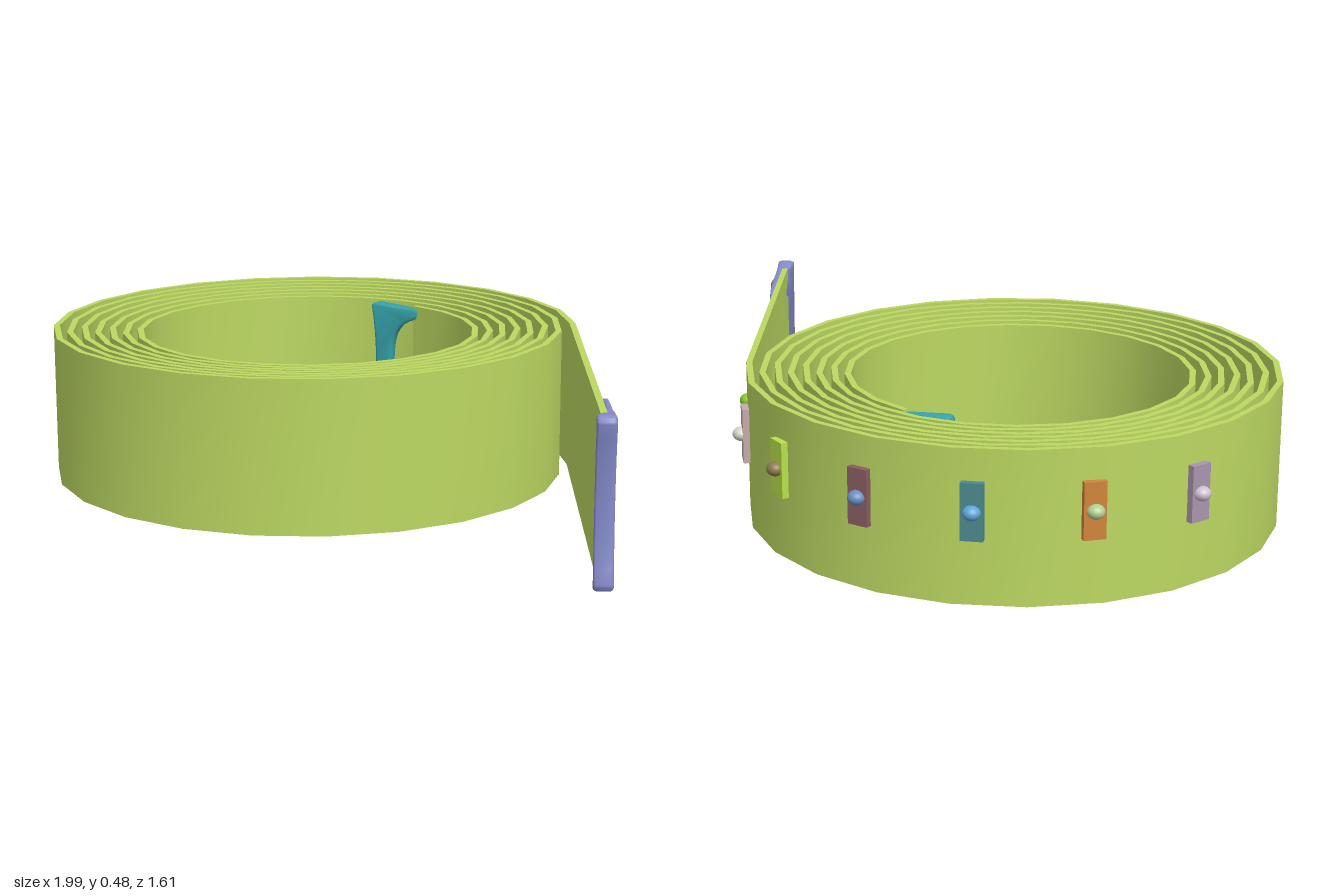
import * as THREE from 'three';
import { toCreasedNormals } from 'three/addons/utils/BufferGeometryUtils.js';

const CX = -0.226, CZ = 0.01;      // centre of the coil
const R = 0.778, PITCH = 0.041;    // outer radius and gap per turn
const A0 = -0.417;                 // angle where the strap leaves the coil
const A_END = -1.3 - 14 * Math.PI; // inner end of the coil
const HALF = 0.009;                // half the strap thickness

const mat = (color) => new THREE.MeshStandardMaterial({ color });

function add(parent, name, geometry, color) {
  const mesh = new THREE.Mesh(geometry, mat(color));
  mesh.name = name;
  parent.add(mesh);
  return mesh;
}

// Point and outward normal on the coil at angle a
function coilAt(a) {
  const turns = (A0 - a) / (2 * Math.PI), r = R - PITCH * turns;
  const nx = Math.cos(a), nz = Math.sin(a);
  return { x: CX + r * nx, z: CZ + r * nz, nx, nz, y: 0.035 - 0.003 * turns };
}

// Point and normal on the free tail, u = distance from the coil
const start = coilAt(A0);
function tailAt(u) {
  const { nx, nz } = start;
  return { x: start.x - nz * u, z: start.z + nx * u, nx, nz, y: 0.035 };
}

const strapAt = (s) => (s >= 0 ? tailAt(s) : coilAt(A0 + s / (R - 0.008)));

// Rectangular cross-section swept along the coil and the tail
function strapGeometry() {
  const path = [], steps = 168, pos = [], idx = [];
  for (let i = 0; i <= steps; i++) path.push(coilAt(A_END + (A0 - A_END) * i / steps));
  path.push(tailAt(1.17));
  path.forEach((p, i) => {
    for (const [n, h] of [[HALF, 0.435], [HALF, 0], [-HALF, 0], [-HALF, 0.435]])
      pos.push(p.x + p.nx * n, p.y + h, p.z + p.nz * n);
    if (i === path.length - 1) return;
    for (let k = 0; k < 4; k++) {
      const a = i * 4 + k, b = i * 4 + (k + 1) % 4;
      idx.push(a, b + 4, b, a, a + 4, b + 4);
    }
  });
  const e = (path.length - 1) * 4;
  idx.push(0, 1, 2, 0, 2, 3, e, e + 2, e + 1, e, e + 3, e + 2);
  const g = new THREE.BufferGeometry();
  g.setAttribute('position', new THREE.Float32BufferAttribute(pos, 3));
  g.setIndex(idx);
  return toCreasedNormals(g, 0.4);
}

// Group whose z points away from the coil and whose x runs back along the strap
function mount(parent, name, p, y) {
  const g = new THREE.Group();
  g.name = name;
  g.position.set(p.x, y, p.z);
  g.rotation.y = Math.atan2(p.nx, p.nz);
  parent.add(g);
  return g;
}

// Bevelled plate whose depth is remapped between back(x) and front(x)
function plateGeometry(shape, back, front) {
  const g = new THREE.ExtrudeGeometry(shape, {
    depth: 0.6, bevelThickness: 0.2, bevelSize: 0.008, bevelOffset: -0.008,
    bevelSegments: 3, curveSegments: 10,
  });
  const p = g.attributes.position;
  for (let i = 0; i < p.count; i++) {
    const x = p.getX(i), t = p.getZ(i) + 0.2;
    p.setZ(i, THREE.MathUtils.lerp(back(x), front(x), t));
  }
  return toCreasedNormals(g, 0.7);
}

// Outer buckle: flared outline with a notch and a slot, y measured from the middle
function buckleShape() {
  const s = new THREE.Shape();
  s.moveTo(0, 0.2);
  s.quadraticCurveTo(-0.006, 0.232, 0.035, 0.225);
  s.bezierCurveTo(0.11, 0.205, 0.2, 0.215, 0.28, 0.205);
  s.quadraticCurveTo(0.345, 0.195, 0.345, 0.155);
  s.lineTo(0.345, 0.085);
  s.quadraticCurveTo(0.345, 0.06, 0.32, 0.06);
  s.bezierCurveTo(0.255, 0.06, 0.255, -0.06, 0.32, -0.06);
  s.quadraticCurveTo(0.345, -0.06, 0.345, -0.085);
  s.lineTo(0.345, -0.155);
  s.quadraticCurveTo(0.345, -0.195, 0.28, -0.205);
  s.bezierCurveTo(0.2, -0.215, 0.11, -0.205, 0.035, -0.225);
  s.quadraticCurveTo(-0.006, -0.232, 0, -0.2);
  s.bezierCurveTo(0.03, -0.1, 0.03, 0.1, 0, 0.2);
  const slot = new THREE.Path();
  slot.absarc(0.195, 0.08, 0.018, 0, Math.PI, false);
  slot.absarc(0.195, -0.08, 0.018, Math.PI, 2 * Math.PI, false);
  slot.closePath();
  s.holes.push(slot);
  return s;
}

// Inner end cap: narrow web with arms reaching along both strap edges
function capShape() {
  const s = new THREE.Shape();
  s.moveTo(0, -0.21);
  s.quadraticCurveTo(0, -0.225, -0.02, -0.225);
  s.lineTo(-0.19, -0.21);
  s.quadraticCurveTo(-0.2, -0.19, -0.18, -0.185);
  s.bezierCurveTo(-0.06, -0.17, -0.07, -0.1, -0.065, 0);
  s.bezierCurveTo(-0.07, 0.1, -0.06, 0.17, -0.18, 0.185);
  s.quadraticCurveTo(-0.2, 0.19, -0.19, 0.21);
  s.lineTo(-0.02, 0.225);
  s.quadraticCurveTo(0, 0.225, 0, 0.21);
  s.bezierCurveTo(-0.02, 0.1, -0.02, -0.1, 0, -0.21);
  return s;
}

export function createModel() {
  const model = new THREE.Group();
  model.name = 'rolledStrap';
  add(model, 'strap', strapGeometry(), 0xbcd862);

  // Buckle at the free end, thick at the tip and thin toward the coil
  const buckle = mount(model, 'buckle', tailAt(1.205), 0.254);
  const taper = (x) => THREE.MathUtils.lerp(-0.024, 0.011, THREE.MathUtils.smoothstep(x, 0.02, 0.17));
  add(buckle, 'bucklePlate', plateGeometry(buckleShape(), taper, () => 0.028), 0x858bcb);
  [[0.174, 0xb5835a], [-0.164, 0xc9b3d0]].forEach(([y, color]) => {
    const rivet = add(buckle, 'buckleRivet', new THREE.SphereGeometry(0.027, 20, 12), color);
    rivet.position.set(0.17, y, 0.026);
    rivet.scale.z = 0.55;
  });

  // Cap on the inner end of the coil
  const cap = mount(model, 'innerCap', { x: -0.24, z: -0.462, nx: 0.04, nz: -1 }, 0.226);
  const capBack = (x) => THREE.MathUtils.lerp(-0.022, -0.013, THREE.MathUtils.clamp(-x / 0.15, 0, 1));
  add(cap, 'innerCapPlate', plateGeometry(capShape(), capBack, (x) => -capBack(x)), 0x35a3ab);

  // Studs: a coloured tile with a domed gem, evenly spaced along the outer turn
  const studs = [
    [0x8a2fa5, 0x5b8fc2], [0xdcc65a, 0xdccb9c], [0x93a878, 0x86c929],
    [0xc4abaa, 0xd9d3cc], [0xb9e04a, 0x8c7a50], [0x8a5f63, 0x6c8fc0],
    [0x4d8a8e, 0x5fa8d6], [0xd0853a, 0xb5cf95], [0xa995ae, 0xd0bfcf],
  ];
  studs.forEach(([tileColor, gemColor], i) => {
    const stud = mount(model, 'stud', strapAt(0.8 - 0.315 * i), 0.3);
    const tile = add(stud, 'studTile', new THREE.BoxGeometry(0.062, 0.16, 0.02), tileColor);
    tile.position.z = 0.014;
    const gem = add(stud, 'studGem', new THREE.SphereGeometry(0.025, 20, 14), gemColor);
    gem.position.z = 0.027;
    gem.scale.y = 0.82;
  });
  return model;
}
